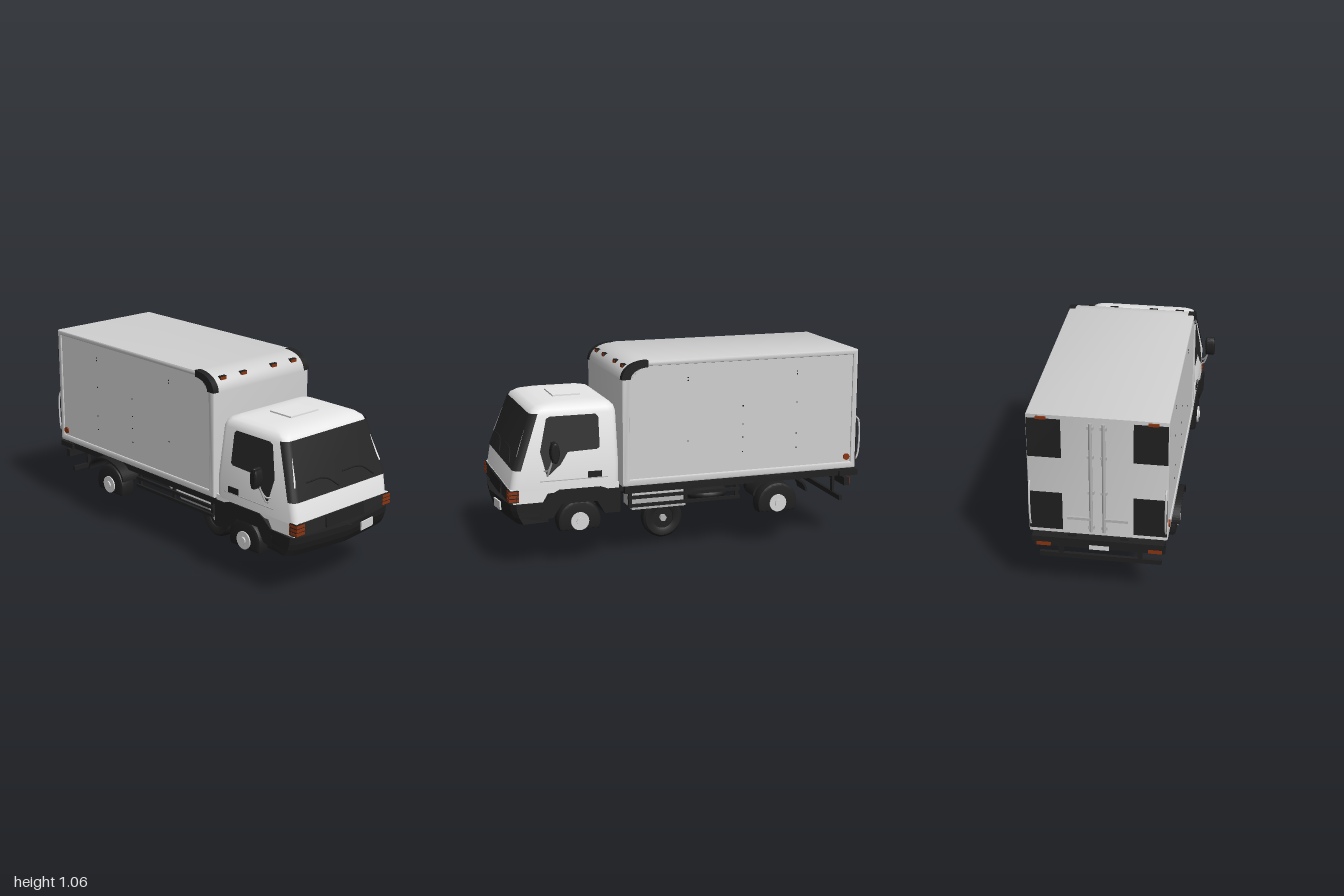
import * as THREE from 'three';
import { toCreasedNormals } from 'three/addons/utils/BufferGeometryUtils.js';

const mat = (name, color, side = THREE.FrontSide) => {
  const m = new THREE.MeshStandardMaterial({ color, side });
  m.name = name;
  return m;
};

export function createModel() {
  const root = new THREE.Group();
  root.name = 'boxTruck';
  const white = mat('cabWhite', 0xf2f2f2, THREE.DoubleSide);
  const grey = mat('cargoGrey', 0xd0d0d0);
  const black = mat('chassisBlack', 0x202020);
  const glass = mat('darkGlass', 0x262626, THREE.DoubleSide);
  const amber = mat('amberLamp', 0x8a3412);
  const silver = mat('silverMetal', 0xb4b4b4);
  const rimMat = mat('rimLight', 0xd6d6d6);

  const add = (name, geo, m, x = 0, y = 0, z = 0) => {
    const mesh = new THREE.Mesh(geo, m);
    mesh.name = name;
    mesh.position.set(x, y, z);
    root.add(mesh);
    return mesh;
  };
  const box = (name, m, w, h, d, x, y, z) => add(name, new THREE.BoxGeometry(w, h, d), m, x, y, z);
  const both = (fn) => [1, -1].forEach(fn);
  const poly = (pts) => new THREE.Shape(pts.map(([a, b]) => new THREE.Vector2(a, b)));
  // Side profile drawn in (z, y), extruded across x and centred
  const across = (shape, width, bevel = 0) => {
    const g = new THREE.ExtrudeGeometry(shape, {
      depth: width - 2 * bevel, bevelEnabled: bevel > 0, bevelSize: bevel, bevelThickness: bevel,
      bevelOffset: -bevel, bevelSegments: 2, curveSegments: 14,
    });
    return g.translate(0, 0, bevel - width / 2).rotateY(-Math.PI / 2);
  };
  const tube = (name, m, r, pts) => add(name, new THREE.TubeGeometry(
    new THREE.CatmullRomCurve3(pts.map((p) => new THREE.Vector3(...p))), 10, r, 6), m);
  const axleCyl = (r, w, seg = 24) => new THREE.CylinderGeometry(r, r, w, seg).rotateZ(Math.PI / 2);

  // Rounded-rectangle rings [y, halfWidth, zBack, zFront, radius] joined upward
  const STEP = 4;
  const loft = (sections, frontOnly = false, grow = 0) => {
    const pos = [], idx = [];
    const n = frontOnly ? 2 * (STEP + 1) : 4 * (STEP + 1);
    for (const [y, w, zb, zf, r] of sections) {
      for (let p = 0; p < n; p++) {
        const k = Math.floor(p / (STEP + 1));
        const t = (k + (p % (STEP + 1)) / STEP) * Math.PI / 2;
        const cx = (k === 0 || k === 3 ? 1 : -1) * (w + grow - r);
        const cz = k < 2 ? zf + grow - r : zb - grow + r;
        pos.push(cx + r * Math.cos(t), y, cz + r * Math.sin(t));
      }
    }
    for (let i = 0; i < sections.length - 1; i++) {
      for (let j = 0; j < (frontOnly ? n - 1 : n); j++) {
        const a = i * n + j, b = i * n + (j + 1) % n, d = a + n, c = b + n;
        idx.push(a, d, b, b, d, c);
      }
    }
    if (!frontOnly) {
      const top = (sections.length - 1) * n;
      for (let j = 1; j < n - 1; j++) idx.push(top, top + j + 1, top + j);
    }
    const g = new THREE.BufferGeometry();
    g.setAttribute('position', new THREE.Float32BufferAttribute(pos, 3));
    g.setIndex(idx);
    return toCreasedNormals(g, 0.7);
  };

  // Cab shell, roof hatch and lower skirt
  const sideX = (y) => 0.345 - (y - 0.53) * 0.148;
  const frontZ = (y) => 0.935 - (y - 0.53) * 0.363;
  add('cabShell', loft([
    [0.42, 0.343, 0.375, 0.955, 0.04], [0.53, 0.345, 0.375, 0.935, 0.04],
    [0.8, 0.305, 0.378, 0.837, 0.04], [0.825, 0.297, 0.384, 0.825, 0.045],
    [0.842, 0.28, 0.4, 0.795, 0.05], [0.852, 0.25, 0.43, 0.74, 0.05], [0.856, 0.2, 0.48, 0.69, 0.05],
  ]), white);
  add('cabSkirt', across(poly([[0.38, 0.4], [0.76, 0.4], [0.79, 0.35], [0.94, 0.35], [0.955, 0.43], [0.38, 0.43]]), 0.684), white);
  box('roofHatch', white, 0.2, 0.014, 0.15, 0, 0.857, 0.595);
  add('windshield', loft([[0.53, 0.345, 0.4, 0.935, 0.04], [0.812, 0.303, 0.4, 0.833, 0.04]], true, 0.004), glass);
  add('grille', loft([[0.362, 0.343, 0.4, 0.958, 0.04], [0.43, 0.343, 0.4, 0.954, 0.04]], true, 0.005), glass);
  add('grilleCentre', across(poly([[0.94, 0.365], [0.972, 0.365], [0.964, 0.425], [0.94, 0.425]]), 0.28), black);

  // Pillar glints seen through the glass, and wipers
  both((s) => {
    const pillar = new THREE.ShapeGeometry(poly([[s * 0.318, 0.6], [s * 0.308, 0.6], [s * 0.272, 0.735], [s * 0.288, 0.735]]));
    const p = pillar.attributes.position;
    for (let i = 0; i < p.count; i++) p.setZ(i, frontZ(p.getY(i)) + 0.003);
    pillar.computeVertexNormals();
    add('innerPillar', pillar, white);
  });
  [-0.24, 0.02].forEach((x) => tube('wiper', black, 0.004, [
    [x, 0.61, frontZ(0.61) + 0.008], [x + 0.14, 0.605, frontZ(0.605) + 0.009], [x + 0.22, 0.55, frontZ(0.55) + 0.009]]));

  // Side windows, door handles, headlamps, mirrors
  both((s) => {
    const g = new THREE.ShapeGeometry(poly([
      [0.755, 0.785], [0.735, 0.795], [0.495, 0.795], [0.48, 0.78], [0.48, 0.625], [0.495, 0.615],
      [0.65, 0.61], [0.69, 0.55], [0.765, 0.49], [0.795, 0.62]]));
    const p = g.attributes.position;
    for (let i = 0; i < p.count; i++) {
      const z = p.getX(i), y = p.getY(i);
      p.setXYZ(i, s * (sideX(y) + 0.004), y, z);
    }
    if (s > 0) g.setIndex([...g.index.array].reverse());
    g.computeVertexNormals();
    add('sideWindow', g, glass);
    box('doorHandle', black, 0.008, 0.032, 0.075, s * 0.345, 0.485, 0.51);
    box('doorTrim', silver, 0.006, 0.004, 0.36, s * 0.344, 0.465, 0.62);

    box('headlamp', black, 0.06, 0.062, 0.05, s * 0.317, 0.396, 0.937);
    for (let i = 0; i < 3; i++) box('lampLens', amber, 0.058, 0.015, 0.053, s * 0.3185, 0.376 + i * 0.02, 0.938);

    const mirror = across(new THREE.Shape().absellipse(0, 0, 0.024, 0.055, 0, Math.PI * 2), 0.055, 0.01);
    add('mirror', mirror, black, s * 0.403, 0.628, 0.735);
    box('mirrorBacking', black, 0.05, 0.1, 0.025, s * 0.403, 0.628, 0.737);
    [0.012, -0.012].forEach((o) => tube('mirrorArm', silver, 0.005, [
      [s * 0.335, 0.51 + o, 0.77 + o], [s * 0.362, 0.51 + o, 0.765], [s * 0.385, 0.56, 0.75], [s * 0.405, 0.64, 0.735]]));
  });

  // Bumper: bowed plan shape, drawn back towards its lower edge
  const plan = poly([[-0.345, 0.76], [-0.36, 0.93], [-0.33, 0.955], [-0.18, 0.98], [0, 1],
    [0.18, 0.98], [0.33, 0.955], [0.36, 0.93], [0.345, 0.76]].map(([x, z]) => [x, -z]));
  const bumper = new THREE.ExtrudeGeometry(plan, { depth: 0.105, steps: 3, bevelEnabled: false }).rotateX(-Math.PI / 2).translate(0, 0.25, 0);
  const bp = bumper.attributes.position;
  for (let i = 0; i < bp.count; i++) {
    const low = (0.355 - bp.getY(i)) / 0.105;
    if (bp.getZ(i) > 0.8) bp.setZ(i, bp.getZ(i) - 0.035 * low * low);
  }
  bumper.computeVertexNormals();
  add('bumper', bumper, black);
  add('bumperBeak', new THREE.ConeGeometry(0.11, 0.025, 4), black, 0, 0.365, 0.9);
  box('frontPlate', rimMat, 0.1, 0.045, 0.008, 0.145, 0.313, 0.986).rotation.y = 0.12;

  // Dark wheel-arch body below the cab
  add('cabUnderbody', across(poly([[0.8, 0.26], [0.79, 0.35], [0.73, 0.4], [0.7, 0.415], [0.48, 0.415], [0.44, 0.4],
    [0.375, 0.4], [0.375, 0.27], [0.46, 0.27], [0.5, 0.34], [0.69, 0.34], [0.735, 0.27]]), 0.698), black);

  // Cargo box: rounded front top edge, raised border around recessed panels
  const cargoShape = (inset) => {
    const s = new THREE.Shape();
    s.moveTo(-0.975 + inset, 0.4 + inset);
    s.lineTo(0.36 - inset, 0.4 + inset);
    s.lineTo(0.36 - inset, 0.965);
    s.bezierCurveTo(0.355 - inset, 1.02, 0.31, 1.06 - inset, 0.22, 1.06 - inset);
    s.lineTo(-0.975 + inset, 1.06 - inset);
    return s;
  };
  const border = cargoShape(0);
  border.holes.push(poly([[-0.945, 0.437], [-0.945, 1.032], [0.25, 1.032], [0.318, 0.96], [0.318, 0.437]]));
  add('cargoBorder', toCreasedNormals(across(border, 0.69, 0.008), 0.5), grey);
  add('cargoPanels', across(cargoShape(0.012), 0.676), grey);

  both((s) => {
    // Corner caps, rivets, rear side marker
    const cap = new THREE.Shape();
    cap.moveTo(0.363, 0.967);
    cap.bezierCurveTo(0.36, 1.02, 0.31, 1.063, 0.22, 1.063);
    cap.lineTo(0.22, 1.028);
    cap.bezierCurveTo(0.28, 1.025, 0.312, 1.0, 0.315, 0.967);
    add('cornerCap', across(cap, 0.036), black, s * 0.33, 0, 0);
    [[0, 0.96], [0, 0.945], [0, 0.62], [-0.31, 0.79], [-0.31, 0.69], [-0.31, 0.62], [-0.31, 0.54], [-0.62, 0.96],
      [-0.62, 0.945], [-0.62, 0.79], [-0.62, 0.62], [-0.62, 0.54]]
      .forEach(([z, y]) => box('rivet', black, 0.004, 0.006, 0.006, s * 0.338, y, z));
    add('sideMarker', axleCyl(0.018, 0.008, 16), amber, s * 0.345, 0.466, -0.92);

    // Front marker lamps
    [0.11, 0.255].forEach((x) => {
      box('markerBase', black, 0.044, 0.022, 0.02, s * x, 1.026, 0.325);
      box('markerLamp', amber, 0.038, 0.016, 0.024, s * x, 1.026, 0.326);
    });

    // Rear doors: dark corner panels, lock rods, handles, lamps, grab bars
    [0.935, 0.525].forEach((y) => box('doorCornerPanel', black, 0.165, 0.21, 0.006, s * 0.258, y, -0.976));
    add('lockRod', new THREE.CylinderGeometry(0.009, 0.009, 0.61, 8), silver, s * 0.032, 0.73, -0.985);
    [0.45, 0.65, 0.85, 1.01].forEach((y) => box('rodBracket', silver, 0.032, 0.016, 0.014, s * 0.032, y, -0.983));
    box('doorHandleBar', silver, 0.12, 0.014, 0.014, s * 0.09, 0.5, -0.988);
    box('rearTopLamp', amber, 0.05, 0.014, 0.01, s * 0.27, 1.045, -0.978);
    tube('grabBar', rimMat, 0.005, [[s * 0.335, 0.44, -0.975], [s * 0.335, 0.47, -0.992], [s * 0.335, 0.67, -0.992], [s * 0.335, 0.64 + 0.05, -0.975]]);

    // Chassis rail, side guards, rear fenders
    box('chassisRail', black, 0.04, 0.07, 1.38, s * 0.13, 0.36, -0.29);
    box('floorRail', black, 0.03, 0.05, 1.3, s * 0.3, 0.378, -0.31);
    [0.33, 0.285].forEach((y) => box('sideGuard', black, 0.015, 0.016, 0.63, s * 0.315, y, 0.01));
    [0.31, 0, -0.29].forEach((z) => box('guardPost', black, 0.014, 0.11, 0.018, s * 0.305, 0.335, z));
    const arch = new THREE.Shape();
    arch.absellipse(0, 0, 0.16, 0.1, 0, Math.PI);
    arch.lineTo(-0.148, 0);
    arch.absellipse(0, 0, 0.148, 0.088, Math.PI, 0, true);
    add('rearFender', across(arch, 0.115), black, s * 0.318, 0.299, -0.518);

    // Road wheels with flattened tyres
    const tyre = new THREE.Shape();
    tyre.absarc(0, 0, 0.115, -0.42, Math.PI + 0.42);
    [0.595, -0.515].forEach((z) => {
      add('roadTyre', toCreasedNormals(across(tyre, 0.09, 0.015), 0.6), black, s * 0.305, 0.238, z);
      add('roadRim', axleCyl(0.048, 0.05), rimMat, s * 0.332, 0.24, z);
      add('roadHub', axleCyl(0.02, 0.066, 12), rimMat, s * 0.332, 0.24, z);
    });

    // Rear lamps and underrun posts
    box('rearLamp', amber, 0.07, 0.035, 0.02, s * 0.28, 0.32, -0.95);
    box('underrunPost', black, 0.025, 0.13, 0.014, s * 0.2, 0.285, -0.91);
  });

  // Underside: cross members, axles, drive shaft, gearbox, tanks, exhaust
  [0.3, 0.05, -0.2, -0.42, -0.62, -0.85].forEach((z) => box('crossMember', black, 0.62, 0.03, 0.035, 0, 0.38, z));
  [0.595, -0.515].forEach((z) => add('axle', axleCyl(0.022, 0.54, 10), black, 0, 0.25, z));
  add('differential', new THREE.SphereGeometry(0.06, 14, 10), black, 0, 0.255, -0.515);
  add('driveShaft', new THREE.CylinderGeometry(0.018, 0.018, 0.95, 10).rotateX(Math.PI / 2), black, 0, 0.29, -0.03);
  box('gearbox', black, 0.17, 0.13, 0.36, 0, 0.31, 0.5);
  box('fuelTank', silver, 0.16, 0.08, 0.3, 0.21, 0.295, 0.145);
  add('airTank', new THREE.SphereGeometry(0.125, 20, 12).scale(1, 0.38, 1), black, 0.12, 0.28, -0.17);
  add('exhaust', new THREE.CylinderGeometry(0.035, 0.035, 0.24, 14).rotateX(Math.PI / 2), silver, -0.2, 0.28, 0.08);
  tube('tailPipe', silver, 0.012, [[-0.2, 0.28, -0.03], [-0.19, 0.28, -0.15], [-0.12, 0.29, -0.25]]);

  // Rear beam, licence plate and underrun bar
  box('rearBeam', black, 0.66, 0.03, 0.11, 0, 0.368, -0.945);
  box('rearLampBar', black, 0.66, 0.045, 0.03, 0, 0.32, -0.935);
  box('rearPlate', rimMat, 0.1, 0.045, 0.008, 0, 0.32, -0.955);
  box('underrunBar', black, 0.62, 0.026, 0.018, 0, 0.222, -0.91);

  // Spare wheel hanging upright in the middle
  const profile = [[0.06, -0.03], [0.075, -0.037], [0.1, -0.037], [0.112, -0.026], [0.115, 0], [0.112, 0.026],
    [0.1, 0.037], [0.075, 0.037], [0.06, 0.03], [0.06, -0.03]].map(([r, h]) => new THREE.Vector2(r, h));
  add('spareTyre', toCreasedNormals(new THREE.LatheGeometry(profile, 32).rotateZ(Math.PI / 2), 0.6), black, 0, 0.117, 0.04);
  add('spareRim', axleCyl(0.063, 0.045), black, 0, 0.117, 0.04);
  add('spareHub', axleCyl(0.02, 0.085, 6), silver, 0, 0.117, 0.04);
  for (let i = 0; i < 8; i++) {
    const a = i * Math.PI / 4;
    add('spareBolt', axleCyl(0.006, 0.056, 6), black, 0, 0.117 + 0.042 * Math.sin(a), 0.04 + 0.042 * Math.cos(a));
  }
  return root;
}
